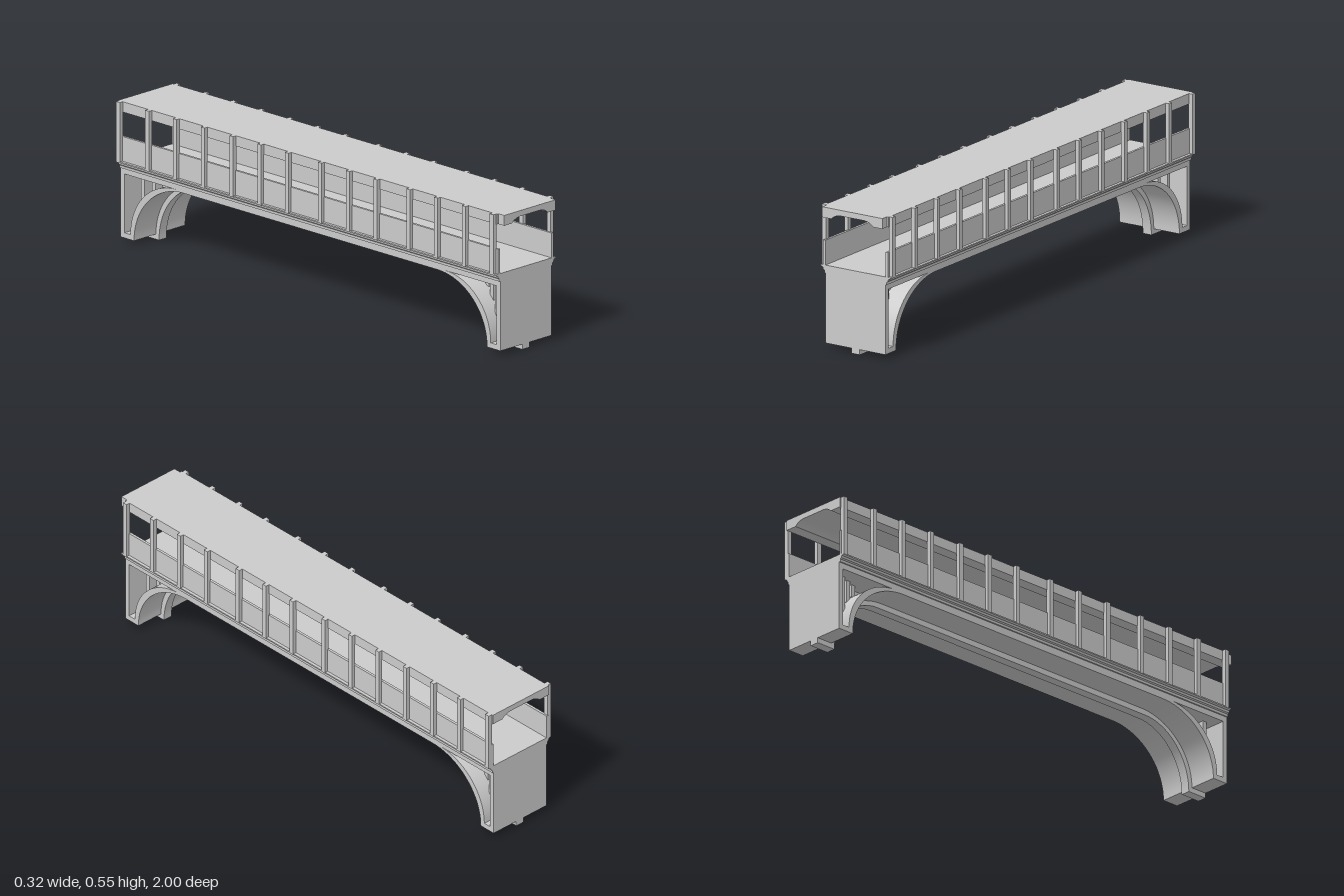
import * as THREE from 'three';
import { toCreasedNormals } from 'three/addons/utils/BufferGeometryUtils.js';

const MID = -0.008;     // middle of the span along z
const HALF = 0.987;     // half length of the masonry
const BODY_W = 0.268;   // width of the masonry
const material = new THREE.MeshStandardMaterial({ color: 0xcccccc });

function add(parent, name, geometry, x = 0, y = 0, z = 0) {
  const mesh = new THREE.Mesh(geometry, material);
  mesh.name = name;
  mesh.position.set(x, y, z);
  parent.add(mesh);
  return mesh;
}

const box = (w, h, d) => new THREE.BoxGeometry(w, h, d);
const toShape = (pts) => new THREE.Shape(pts.map(([a, b]) => new THREE.Vector2(a, b)));

function extrude(shape, depth) {
  const g = new THREE.ExtrudeGeometry(shape, { depth, bevelEnabled: false });
  return toCreasedNormals(g, 0.5);
}

// Side outline (z, y), given thickness across x and centred on x = 0
function sideExtrude(shape, width) {
  return extrude(shape, width).rotateY(-Math.PI / 2).translate(width / 2, 0, MID);
}

// Quarter ellipse from the leg (springing) up to the crown
function quarterArc(centre, rz, y0, ry, steps = 20) {
  return Array.from({ length: steps + 1 }, (_, i) => {
    const t = (i / steps) * Math.PI / 2;
    return [centre + rz * Math.cos(t), y0 + ry * Math.sin(t)];
  });
}

const flip = (pts) => pts.map(([z, y]) => [-z, y]).reverse();

// Solid between the ends, the given top and an arched opening
function archOutline(arc, base, top) {
  return toShape([[-HALF, base], ...flip(arc).reverse().sort((a, b) => a[1] - b[1]),
    ...[...arc].reverse(), [HALF, base], [HALF, top], [-HALF, top]]);
}

// Mirrored cross-section from its right half, listed bottom to top
const crossSection = (half) => toShape([...half, ...flip(half)]);

export function createModel() {
  const model = new THREE.Group();
  model.name = 'coveredBridge';

  // Arched body with open spandrels
  const spandrel = [[0.968, 0.04], [0.968, 0.268], ...quarterArc(0.70, 0.237, 0.04, 0.228).reverse()];
  const body = archOutline(quarterArc(0.66, 0.258, 0.02, 0.242), 0.02, 0.29);
  body.holes.push(toShape(spandrel), toShape(flip(spandrel)));
  add(model, 'archBody', sideExtrude(body, BODY_W));

  // Central web closing the spandrels, with stepped upright ribs
  for (const pts of [spandrel, flip(spandrel)]) {
    add(model, 'spandrelWeb', sideExtrude(toShape(pts), 0.04));
  }
  for (const end of [-1, 1]) {
    [[0.92, 0.12], [0.88, 0.18], [0.84, 0.22]].forEach(([z, bottom], i) => {
      const w = 0.17 - i * 0.03;
      add(model, 'spandrelRib', box(w, 0.27 - bottom, 0.018), 0, (0.27 + bottom) / 2, MID + end * z);
    });
  }

  // Narrow rib running under the middle of the arch
  add(model, 'centreRib', sideExtrude(
    archOutline(quarterArc(0.68, 0.222, 0, 0.24), 0, 0.275), 0.038));

  // Deck with moulded cornice
  const deck = crossSection([[0.14, 0.29], [0.14, 0.3], [0.145, 0.304], [0.148, 0.312],
    [0.157, 0.315], [0.157, 0.32]]);
  add(model, 'deck', extrude(deck, 2 * HALF), 0, 0, MID - HALF);

  // Roof with a shallow vaulted ceiling; the front edge is narrower
  const ceiling = [[0.055, 0.528], [0.068, 0.526], [0.082, 0.52], [0.095, 0.51]];
  const roofShape = (halfWidth) => crossSection(
    [...ceiling, [halfWidth, 0.51], [halfWidth, 0.55]]);
  add(model, 'roof', extrude(roofShape(0.143), 1.97), 0, 0, -1);
  add(model, 'roofFrontEdge', extrude(roofShape(0.135), 0.03), 0, 0, 0.97);

  // Parapets and window posts on both sides
  const postZ = [0.957, 0.813, 0.668, 0.524, 0.353, 0.209, 0.064,
    -0.107, -0.251, -0.396, -0.545, -0.69, -0.834, -0.985];
  for (const side of [-1, 1]) {
    add(model, 'parapet', box(0.01, 0.097, 2 * HALF), side * 0.14, 0.3675, MID);
    for (const z of postZ) {
      add(model, 'windowPost', box(0.017, 0.234, 0.019), side * 0.15, 0.433, z);
    }
  }
  return model;
}
